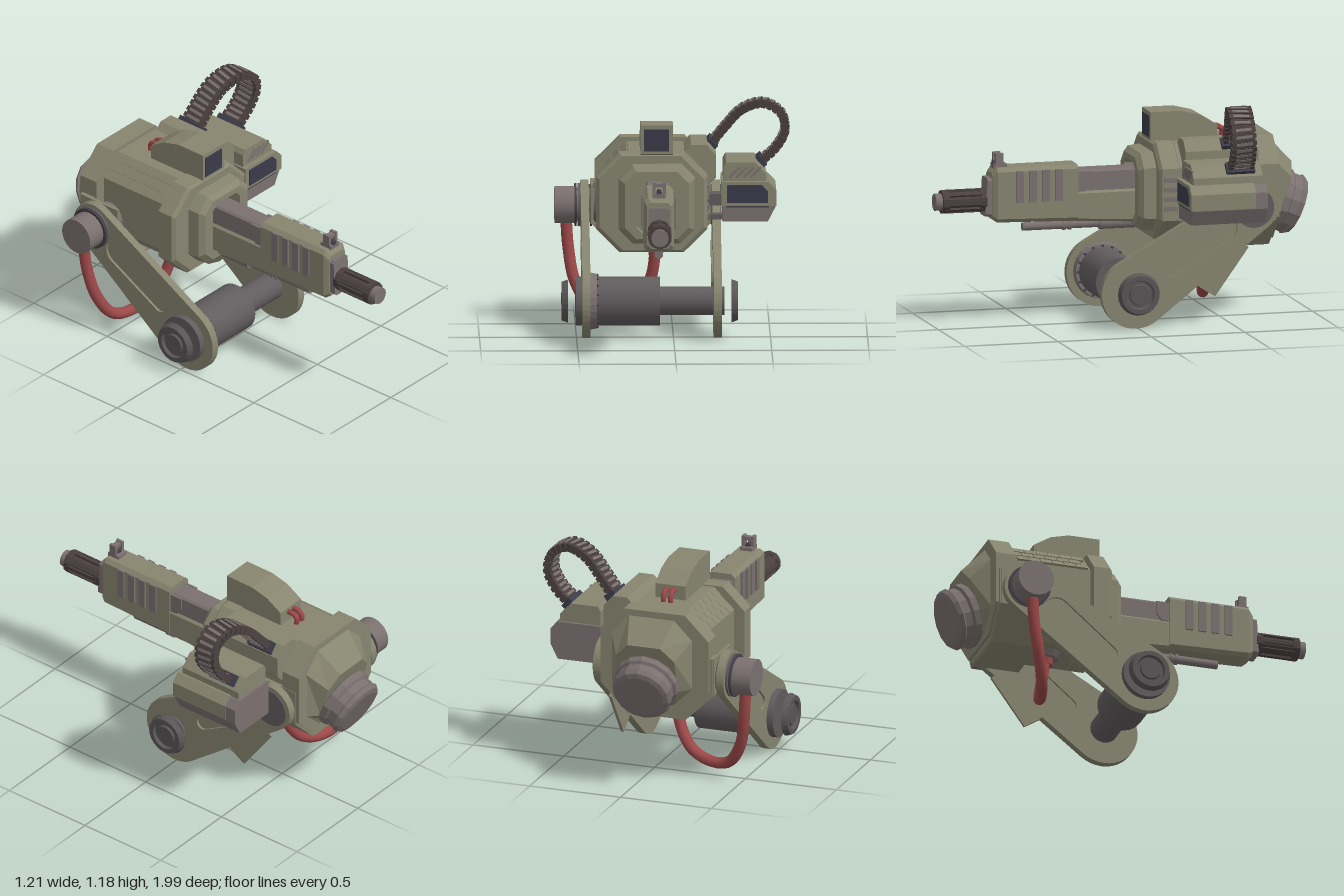
import * as THREE from 'three';

const mat = (color, flat = true) => new THREE.MeshStandardMaterial({ color, flatShading: flat });
const OLIVE = mat(0x87856f), GREY = mat(0x7b7070), STEEL = mat(0x615c5e, false), WARM = mat(0x7b7070, false);
const BROWN = mat(0x4a403f), GLASS = mat(0x3b3b4a), RED = mat(0x9c4848, false), DARK = mat(0x454149);

export function createModel() {
  const root = new THREE.Group();
  const add = (name, geo, m, parent = root) => {
    const mesh = new THREE.Mesh(geo, m);
    mesh.name = name;
    parent.add(mesh);
    return mesh;
  };
  // Box from its min and max on each axis
  const box = (name, x0, x1, y0, y1, z0, z1, m) => add(name,
    new THREE.BoxGeometry(x1 - x0, y1 - y0, z1 - z0).translate((x0 + x1) / 2, (y0 + y1) / 2, (z0 + z1) / 2), m);
  // Cylinder along x from x0 to x1
  const cylX = (name, x0, x1, r0, r1, y, z, m, n = 32) => add(name,
    new THREE.CylinderGeometry(r1, r0, x1 - x0, n).rotateZ(-Math.PI / 2).translate((x0 + x1) / 2, y, z), m);
  // Cylinder along z from z0 (back) to z1 (front)
  const cylZ = (name, z0, z1, r0, r1, x, y, m, n = 16) => add(name,
    new THREE.CylinderGeometry(r1, r0, z1 - z0, n).rotateX(Math.PI / 2).translate(x, y, (z0 + z1) / 2), m);
  // Chamfered rectangle; shear tilts it about its centre
  const oct = (cx, cy, hx, hy, c, z, shear = 0) =>
    [[hx - c, -hy], [hx, c - hy], [hx, hy - c], [hx - c, hy], [c - hx, hy], [-hx, hy - c], [-hx, c - hy], [c - hx, -hy]]
      .map(([x, y]) => [cx + x, cy + y, z - shear * y]);
  // Skin of cross-sections listed from front to back, capped at both ends
  const loft = (name, secs, m) => {
    const p = [], n = secs[0].length, last = secs[secs.length - 1];
    for (let s = 0; s + 1 < secs.length; s++) for (let i = 0; i < n; i++) {
      const j = (i + 1) % n, a = secs[s][i], b = secs[s][j], c = secs[s + 1][j], d = secs[s + 1][i];
      p.push(...a, ...d, ...b, ...b, ...d, ...c);
    }
    for (let i = 1; i + 1 < n; i++) p.push(...secs[0][0], ...secs[0][i], ...secs[0][i + 1], ...last[0], ...last[i + 1], ...last[i]);
    const g = new THREE.BufferGeometry();
    g.setAttribute('position', new THREE.Float32BufferAttribute(p, 3));
    g.computeVertexNormals();
    return add(name, g, m);
  };
  const poly = pts => new THREE.Shape(pts.map(q => new THREE.Vector2(...q)));
  // Outline in x,y pushed along z / outline in z,y pushed along x
  const prismZ = (name, shape, z0, z1, m) => add(name,
    new THREE.ExtrudeGeometry(shape, { depth: z1 - z0, bevelEnabled: false }).translate(0, 0, z0), m);
  const prismX = (name, shape, x0, x1, m) => add(name,
    new THREE.ExtrudeGeometry(shape, { depth: x1 - x0, bevelEnabled: false, curveSegments: 10 }).rotateY(-Math.PI / 2).translate(x1, 0, 0), m);

  // Main housing, from the recessed front port to the rear block
  const C = -0.11, Y = 0.685;
  loft('housing', [
    oct(-0.085, Y, 0.105, 0.145, 0.03, -0.13), oct(-0.085, Y, 0.105, 0.145, 0.03, -0.045),
    oct(-0.085, Y, 0.165, 0.175, 0.06, -0.045), oct(-0.085, Y, 0.192, 0.2, 0.07, -0.07),
    oct(-0.085, Y, 0.197, 0.205, 0.07, -0.135), oct(C, Y, 0.27, 0.245, 0.12, -0.135),
    oct(C, Y, 0.287, 0.256, 0.12, -0.15), oct(C, Y, 0.287, 0.256, 0.12, -0.24),
    oct(-0.08, Y, 0.258, 0.25, 0.11, -0.24), oct(-0.08, Y, 0.258, 0.25, 0.11, -0.66),
    oct(-0.1, Y, 0.297, 0.27, 0.13, -0.66), oct(-0.1, Y, 0.297, 0.27, 0.13, -0.77),
  ], OLIVE);
  loft('rearTaper', [oct(-0.085, 0.69, 0.225, 0.235, 0.1, -0.765), oct(-0.085, 0.64, 0.16, 0.16, 0.07, -0.84, 0.3)], OLIVE);
  // Cradle band under the rear half
  const band = (d, top) => [[-0.42 + d, top], [-0.42 + d, 0.53 + d / 2], [-0.265 + d / 2, 0.38 + d],
    [0.055 - d / 2, 0.38 + d], [0.2 - d, 0.53 + d / 2], [0.2 - d, top]];
  prismZ('cradle', poly([...band(0, 0.73), ...band(0.016, 0.73).reverse()]), -0.75, -0.5, OLIVE);
  prismZ('cradleBack', poly(band(0.005, 0.73)), -0.755, -0.67, OLIVE);
  // Armour tiles on the upper shoulder slope
  for (let r = 0; r < 3; r++) for (let i = 0; i < 6; i++) {
    const t = add('shoulderTile', new THREE.BoxGeometry(0.044, 0.014, 0.06), OLIVE);
    t.position.set(-0.325 + r * 0.038, 0.842 + r * 0.038, -0.285 - i * 0.064 - (r % 2) * 0.025);
    t.rotation.z = Math.PI / 4;
  }
  // Side vents
  for (let i = 0; i < 4; i++) box('sideVent', 0.17, 0.187, 0.6 + i * 0.05, 0.625 + i * 0.05, -0.225, -0.16, GREY);

  // Tilted exhaust drum
  const drum = add('exhaust', new THREE.LatheGeometry(
    [[0, -0.04], [0.15, -0.04], [0.15, 0], [0.17, 0.015], [0.17, 0.05], [0.155, 0.06], [0.155, 0.1], [0.163, 0.11], [0.15, 0.132], [0.125, 0.14], [0, 0.14]]
      .map(q => new THREE.Vector2(...q)), 14), GREY);
  drum.position.set(-0.085, 0.6, -0.81);
  drum.quaternion.setFromUnitVectors(new THREE.Vector3(0, 1, 0), new THREE.Vector3(0, -0.38, -0.925).normalize());

  // Sight housing on top with its window and rear wires
  prismX('sightHousing', poly([[-0.2, 0.9], [-0.135, 0.94], [-0.135, 1.09], [-0.3, 1.09], [-0.4, 1.065], [-0.49, 1.01], [-0.49, 0.9]]), -0.167, 0, OLIVE);
  box('sightWindow', -0.15, -0.02, 0.955, 1.068, -0.14, -0.131, GLASS);
  for (const x of [-0.105, -0.065]) add('sightWire', new THREE.TubeGeometry(new THREE.CatmullRomCurve3(
    [[-0.47, 0.985], [-0.52, 0.985], [-0.545, 0.965], [-0.54, 0.92]].map(([z, y]) => new THREE.Vector3(x, y, z))), 12, 0.014, 8), RED);

  // Gun
  const G = -0.083;
  loft('gunShroud', [oct(G, 0.685, 0.062, 0.12, 0.02, 0.705), oct(G, 0.69, 0.077, 0.142, 0.02, 0.68), oct(G, 0.685, 0.077, 0.148, 0.02, 0.25)], OLIVE);
  loft('gunLower', [oct(G, 0.615, 0.07, 0.08, 0.015, 0.26), oct(G, 0.605, 0.07, 0.09, 0.015, -0.12)], OLIVE);
  loft('gunSlide', [oct(G, 0.74, 0.058, 0.06, 0.01, 0.26), oct(G, 0.74, 0.058, 0.06, 0.01, -0.12)], GREY);
  for (const s of [-1, 1]) {
    prismX('slideCheek', poly([[0.26, 0.69], [0.21, 0.69], [0.18, 0.73], [0.18, 0.795], [0.26, 0.795]]), G + s * 0.062 - 0.006, G + s * 0.062 + 0.006, GREY);
    for (let i = 0; i < 4; i++) {
      const z = 0.355 + i * 0.07;
      box('shroudSlot', G + s * 0.08 - 0.007, G + s * 0.08 + 0.007, 0.65, 0.815, z - 0.02, z + 0.02, GREY);
    }
  }
  loft('muzzlePlate', [oct(G, 0.68, 0.055, 0.1, 0.012, 0.735, 0.06), oct(G, 0.68, 0.055, 0.1, 0.012, 0.69)], GREY);
  cylZ('barrel', 0.7, 1, 0.045, 0.045, G, 0.66, WARM, 12);
  cylZ('barrelSleeve', 0.73, 0.95, 0.052, 0.052, G, 0.66, BROWN, 10);
  for (const z of [0.73, 0.93]) cylZ('sleeveRing', z, z + 0.035, 0.062, 0.062, G, 0.66, BROWN, 10);
  for (let i = 0; i < 8; i++) {
    const a = i * Math.PI / 4;
    add('sleeveRib', new THREE.BoxGeometry(0.018, 0.018, 0.2).rotateZ(a).translate(G + Math.cos(a) * 0.052, 0.66 + Math.sin(a) * 0.052, 0.85), BROWN);
  }
  // Front sight post
  box('sightBase', G - 0.033, G + 0.033, 0.825, 0.85, 0.62, 0.69, GREY);
  for (const s of [-1, 1]) box('sightEar', G + s * 0.026 - 0.008, G + s * 0.026 + 0.008, 0.84, 0.905, 0.64, 0.68, GREY);
  box('sightBridge', G - 0.03, G + 0.03, 0.88, 0.9, 0.645, 0.675, GREY);
  cylZ('sightBead', 0.64, 0.69, 0.014, 0.014, G, 0.855, DARK, 10);
  // Rod under the gun
  cylZ('underRod', 0.1, 0.53, 0.022, 0.022, G, 0.51, WARM);
  cylZ('rodSocket', -0.1, 0.12, 0.033, 0.033, G, 0.51, WARM);
  for (const z of [0.27, 0.3]) cylZ('rodRing', z, z + 0.015, 0.028, 0.028, G, 0.51, WARM);

  // Swing arms: two circles joined by tangents, with a recessed slot
  const hull = (S, [ax, ay, ar], [bx, by, br]) => {
    const f = Math.atan2(by - ay, bx - ax), t = Math.acos((ar - br) / Math.hypot(bx - ax, by - ay));
    S.absarc(ax, ay, ar, f + t, f - t + 2 * Math.PI, false);
    S.absarc(bx, by, br, f - t, f + t, false);
    S.closePath();
    return S;
  };
  const P = { y: 0.61, z: -0.62 }, AX = { y: 0.197, z: 0.012 };
  for (const x of [-0.45, 0.227]) {
    const s = hull(new THREE.Shape(), [0.012, 0.19, 0.183], [P.z, P.y, 0.128]);
    s.holes.push(hull(new THREE.Path(), [-0.17, 0.31, 0.035], [-0.46, 0.51, 0.07]));
    prismX('arm', s, x - 0.021, x + 0.021, OLIVE);
    prismX('armWeb', hull(new THREE.Shape(), [-0.17, 0.31, 0.045], [-0.46, 0.51, 0.08]), x - 0.008, x + 0.008, OLIVE);
    cylX('armPivot', x - 0.026, x + 0.026, 0.105, 0.105, P.y, P.z, STEEL);
  }
  prismX('armFin', poly([[-0.3, 0.25], [-0.34, 0.2], [-0.42, 0.15], [-0.6, 0.4], [-0.5, 0.48]]), 0.2, 0.215, OLIVE);
  cylX('pivotShaft', 0.1, 0.21, 0.09, 0.09, P.y, P.z, STEEL);

  // Axle between the arms
  cylX('axleDrum', -0.505, -0.07, 0.126, 0.126, AX.y, AX.z, STEEL);
  cylX('axleShaft', -0.1, 0.262, 0.074, 0.074, AX.y, AX.z, STEEL);
  cylX('axleCollar', -0.43, -0.395, 0.148, 0.142, AX.y, AX.z, GREY, 24);
  for (let i = 0; i < 16; i++) {
    const a = i * Math.PI / 8;
    cylX('collarBolt', -0.4, -0.387, 0.007, 0.007, AX.y + 0.133 * Math.cos(a), AX.z + 0.133 * Math.sin(a), DARK, 6);
  }
  // Dished end caps
  for (const [x, s] of [[0.3, 1], [-0.545, -1]]) {
    const cap = add('axleCap', new THREE.LatheGeometry(
      [[0, 0], [0.112, 0], [0.1, 0.032], [0.076, 0.032], [0.07, 0.015], [0.056, 0.015], [0.052, 0.026], [0, 0.026]]
        .map(q => new THREE.Vector2(...q)), 24), mat(0x5a5557));
    cap.position.set(x, AX.y, AX.z);
    cap.rotation.z = -s * Math.PI / 2;
  }

  // Side motor with ribbed discs
  cylX('motor', -0.605, -0.49, 0.096, 0.096, P.y, P.z, WARM);
  cylX('motorCore', -0.5, -0.33, 0.085, 0.085, P.y, P.z, WARM);
  [-0.502, -0.485, -0.422, -0.402].forEach((x, i) => cylX('motorRib', x, x + 0.011, 0.112, 0.112, P.y, P.z, i % 2 ? STEEL : DARK));

  // Red hose looping from motor to belly
  const V = a => a.map(q => new THREE.Vector3(...q));
  add('redHose', new THREE.TubeGeometry(new THREE.CatmullRomCurve3(V([[-0.545, 0.54, -0.62], [-0.535, 0.4, -0.61], [-0.5, 0.22, -0.57],
    [-0.42, 0.1, -0.53], [-0.31, 0.08, -0.5], [-0.19, 0.13, -0.47], [-0.11, 0.26, -0.43], [-0.085, 0.44, -0.4]])), 48, 0.03, 12), RED);
  add('hoseCollar', new THREE.CylinderGeometry(0.042, 0.036, 0.06, 16).translate(-0.085, 0.4, -0.4), RED);
  add('hosePort', new THREE.CylinderGeometry(0.09, 0.065, 0.04, 10).translate(-0.085, 0.425, -0.4), GREY);

  // Cable mount on the shoulder
  prismZ('cableMount', poly([[0.06, 0.9], [0.06, 0.935], [0.095, 0.97], [0.175, 0.97], [0.224, 0.915], [0.224, 0.8], [0.165, 0.74], [0.1, 0.8]]), -0.65, -0.26, OLIVE);

  // Sensor pod beside the body
  const podTop = poly([[0.26, 0.77], [0.26, 0.855], [0.275, 0.882], [0.425, 0.882], [0.482, 0.82], [0.482, 0.77]]);
  prismZ('podHood', podTop, -0.6, -0.23, OLIVE);
  const podOutline = k => [[0.255, 0.78], [0.255, 0.578], [0.49 - k, 0.578], [0.53 - k, 0.655], [0.53 - k, 0.74], [0.49 - k, 0.78]];
  prismZ('podBody', poly(podOutline(0)), -0.615, -0.215, GREY);
  prismZ('podSkin', poly([[0.25, 0.785], [0.25, 0.66], [0.533, 0.66], [0.533, 0.742], [0.492, 0.785]]), -0.55, -0.205, OLIVE);
  prismZ('podLens', poly([[0.278, 0.768], [0.278, 0.675], [0.49, 0.675], [0.49, 0.735], [0.458, 0.768]]), -0.21, -0.201, GLASS);
  box('podSlit', 0.275, 0.495, 0.651, 0.659, -0.22, -0.208, DARK);
  for (let i = 0; i < 4; i++) {
    const f = add('hoodLouvre', new THREE.BoxGeometry(0.012, 0.075, 0.012), GREY);
    f.position.set(0.32 + i * 0.036, 0.832, -0.23);
    f.rotation.z = -0.8;
  }
  box('podBracket', 0.16, 0.27, 0.582, 0.607, -0.33, -0.26, STEEL);
  box('podBracketRear', 0.16, 0.27, 0.64, 0.7, -0.48, -0.36, STEEL);

  // Segmented flat cable from mount to pod
  const path = new THREE.CatmullRomCurve3(V([[0.195, 0.935, -0.53], [0.27, 1.03, -0.52], [0.36, 1.125, -0.5], [0.47, 1.16, -0.475],
    [0.56, 1.11, -0.465], [0.58, 1.02, -0.47], [0.53, 0.925, -0.48], [0.445, 0.85, -0.485]]));
  const N = 24, L = path.getLength() / N;
  const place = (name, u, size, m) => {
    const t = path.getTangentAt(u), w = new THREE.Vector3(0, 0, 1).addScaledVector(t, -t.z).normalize();
    const b = add(name, new THREE.BoxGeometry(...size), m);
    b.quaternion.setFromRotationMatrix(new THREE.Matrix4().makeBasis(t, w.clone().cross(t), w));
    b.position.copy(path.getPointAt(u));
  };
  for (let i = 0; i < N; i++) {
    const u = (i + 0.5) / N;
    place('cableCore', u, [L * 1.25, 0.03, 0.115], BROWN);
    place('cableLink', u, [L * 0.72, 0.042, 0.13], BROWN);
    place('cablePlate', u, [L * 0.45, 0.049, 0.085], GREY);
  }
  for (const u of [0.015, 0.985]) place('cableSocket', u, [0.04, 0.062, 0.15], GLASS);

  return root;
}
